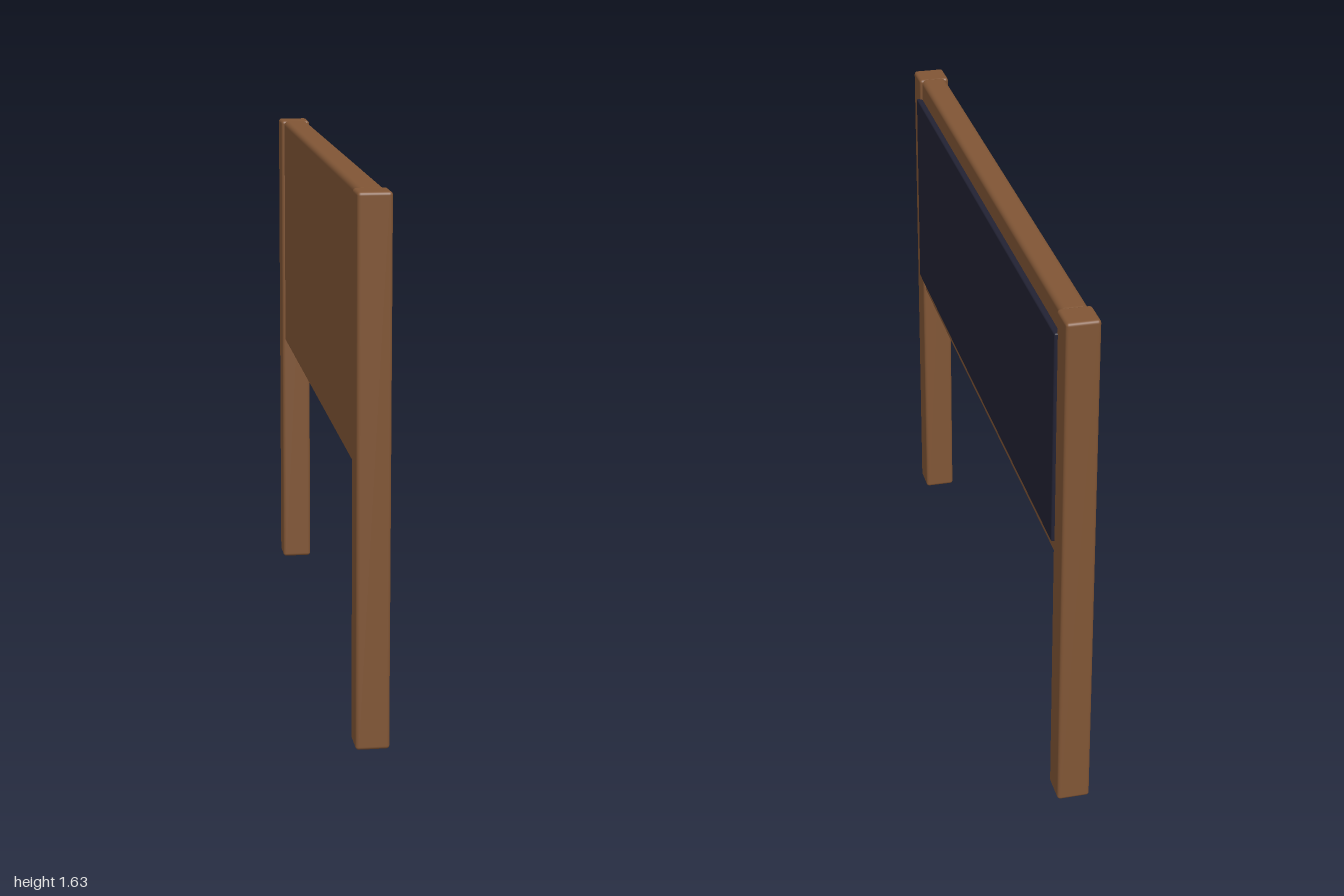
import * as THREE from 'three';
import { RoundedBoxGeometry } from 'three/addons/geometries/RoundedBoxGeometry.js';

export function createModel() {
  const model = new THREE.Group();
  model.name = 'noticeBoard';
  const wood = new THREE.MeshStandardMaterial({ name: 'brownWood', color: 0x805535 });
  const slate = new THREE.MeshStandardMaterial({ name: 'darkSlate', color: 0x222233 });

  // Rounded block given by its minimum and maximum corners
  function block(name, min, max, radius, material) {
    const size = max.map((v, i) => v - min[i]);
    const mesh = new THREE.Mesh(new RoundedBoxGeometry(...size, 3, radius), material);
    mesh.position.set(...max.map((v, i) => (v + min[i]) / 2));
    mesh.name = name;
    model.add(mesh);
  }

  // Two upright posts
  for (const [name, z] of [['frontPost', 0.95], ['backPost', -0.95]]) {
    block(name, [-0.055, 0, z - 0.05], [0.045, 1.63, z + 0.05], 0.01, wood);
  }

  // Backing board between the posts
  block('backingBoard', [-0.045, 0.82, -0.915], [0.037, 1.63, 0.915], 0.016, wood);

  // Dark writing panel, lapping slightly over the posts
  block('writingPanel', [0.035, 0.885, -0.915], [0.055, 1.56, 0.915], 0.005, slate);

  return model;
}
